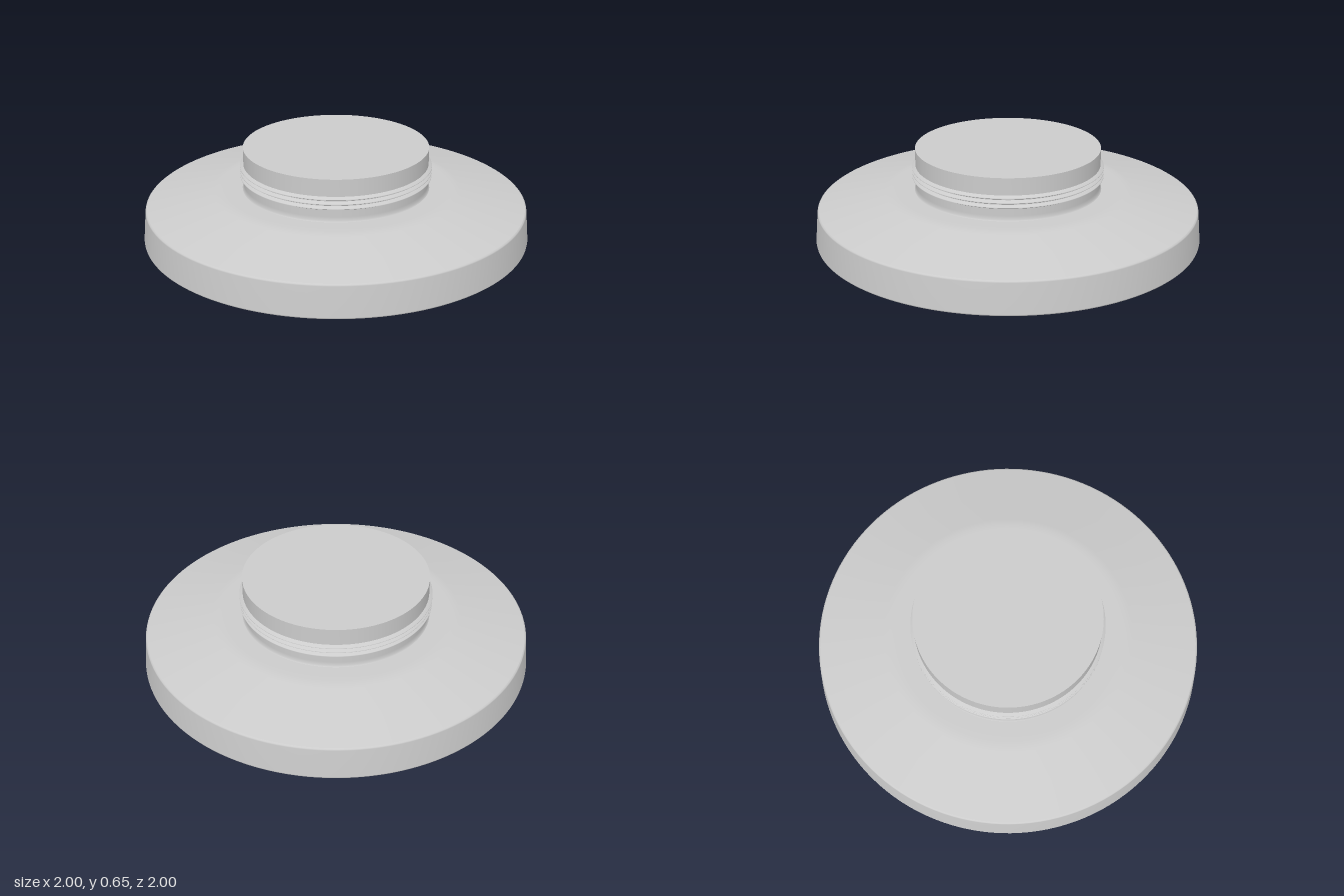
import * as THREE from 'three';

const SEGMENTS = 128;

export function createModel() {
  const group = new THREE.Group();
  const material = new THREE.MeshStandardMaterial({ color: 0xcccccc });

  // Revolves a profile of [radius, y] points, listed from bottom to top
  const revolve = (name, profile) => {
    const points = profile.map(([r, y]) => new THREE.Vector2(r, y));
    const mesh = new THREE.Mesh(new THREE.LatheGeometry(points, SEGMENTS), material);
    mesh.name = name;
    group.add(mesh);
  };

  // Shallow spherical lens bulging downwards
  const lens = [];
  const sphereRadius = 2.8, rim = Math.asin(0.995 / sphereRadius);
  for (let i = 0; i <= 24; i++) {
    const a = (rim * i) / 24;
    lens.push([sphereRadius * Math.sin(a), sphereRadius * (1 - Math.cos(a))]);
  }
  revolve('lens', lens);

  // Slightly tapered rim band with softened edges
  revolve('rimBand', [
    [0.995, 0.183], [0.999, 0.186], [1, 0.191],
    [0.986, 0.343], [0.984, 0.349], [0.978, 0.353],
  ]);

  // Sloping shoulder and the flat ledge around the neck
  revolve('shoulder', [
    [0.978, 0.353], [0.8, 0.393], [0.64, 0.429], [0.61, 0.434], [0.58, 0.435], [0.47, 0.435],
  ]);

  // Cylindrical neck, closed on top
  revolve('neck', [[0.484, 0.435], [0.478, 0.442], [0.477, 0.46], [0.477, 0.655]]);
  revolve('neckCap', [[0.477, 0.655], [0, 0.655]]);

  // Sharp thread ridges around the neck
  for (let i = 0; i < 3; i++) {
    const y = 0.508 + i * 0.024;
    revolve('threadRidge' + (i + 1), [[0.476, y - 0.011], [0.494, y - 0.002]]);
    revolve('threadRidgeTop' + (i + 1), [[0.494, y - 0.002], [0.494, y + 0.002], [0.476, y + 0.011]]);
  }

  return group;
}
